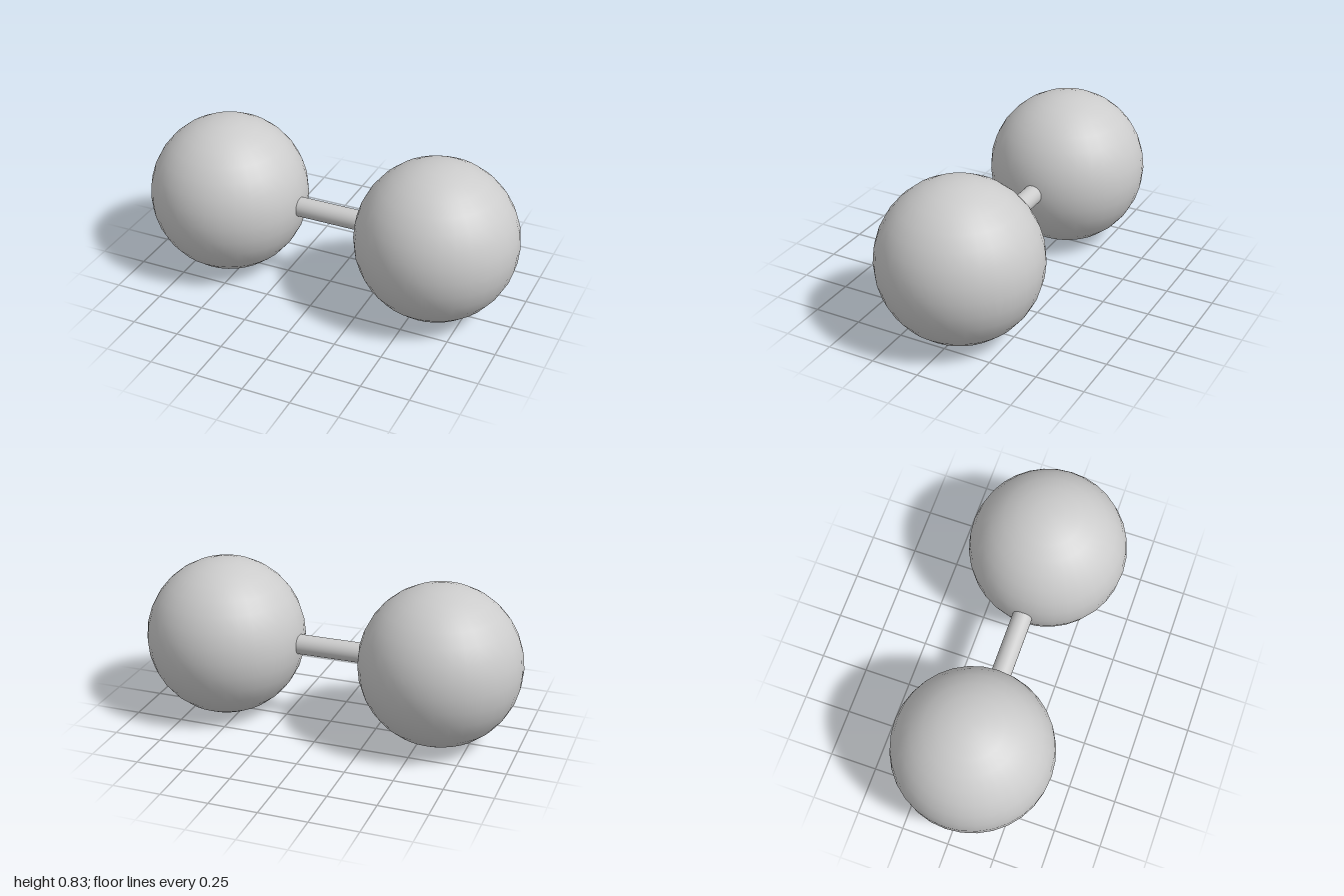
import * as THREE from 'three';

export function createModel() {
  const group = new THREE.Group();
  const material = new THREE.MeshStandardMaterial({ color: 0xcccccc });
  const radius = 0.417;
  const offset = 1 - radius;

  // Two equal balls, one at each end
  const ballGeometry = new THREE.SphereGeometry(radius, 32, 16);
  for (const [name, side] of [['leftBall', 1], ['rightBall', -1]]) {
    const ball = new THREE.Mesh(ballGeometry, material);
    ball.name = name;
    ball.position.set(side * offset, radius, 0);
    group.add(ball);
  }

  // Round bar joining the balls, running from centre to centre
  const bar = new THREE.Mesh(new THREE.CylinderGeometry(0.052, 0.052, 2 * offset, 32), material);
  bar.name = 'connectingBar';
  bar.rotation.z = Math.PI / 2;
  bar.position.y = radius;
  group.add(bar);

  return group;
}
